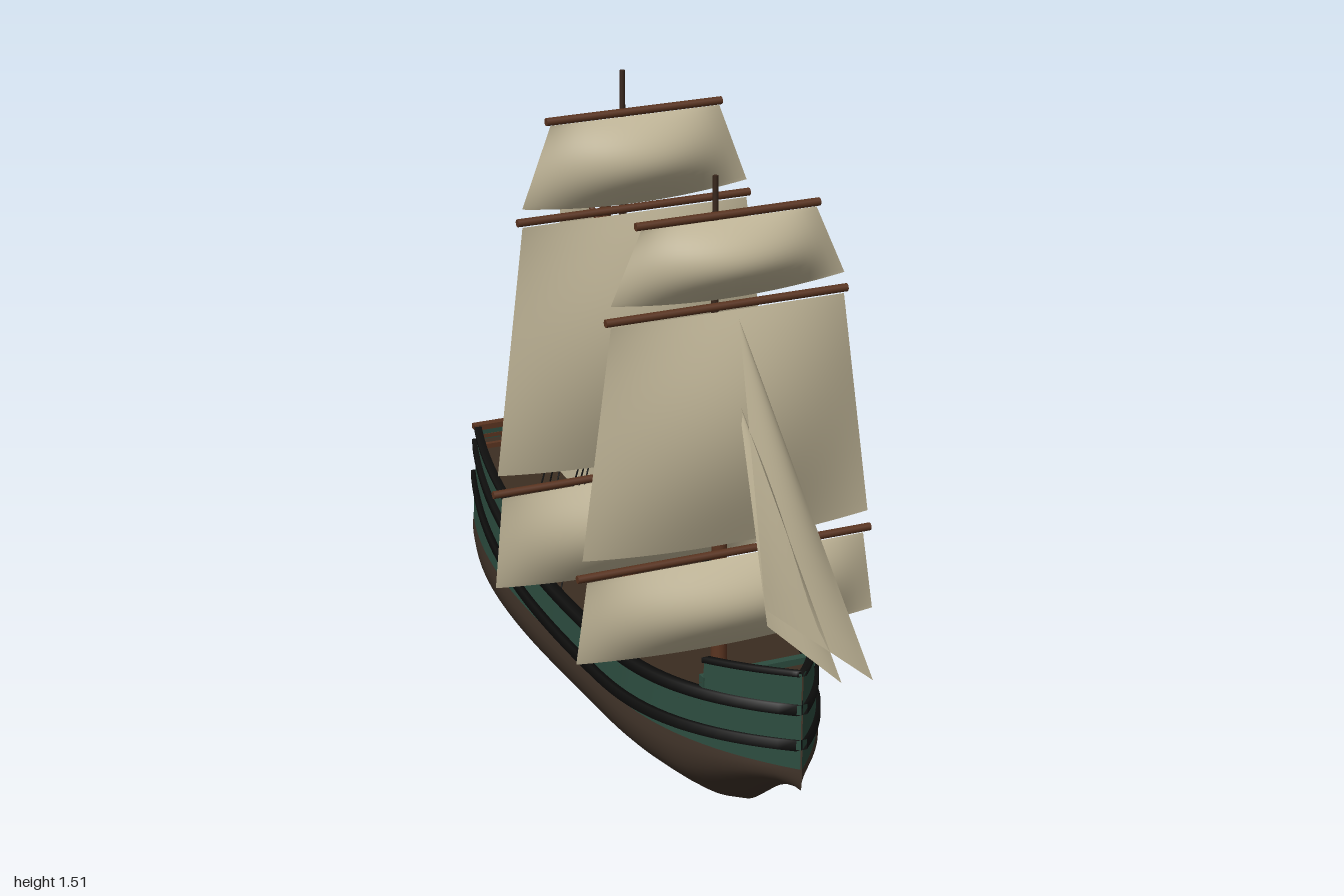
import * as THREE from 'three';

const mat = (name, color, side = THREE.FrontSide) => {
  const m = new THREE.MeshStandardMaterial({ color, side });
  m.name = name;
  return m;
};

export function createModel() {
  const ship = new THREE.Group();
  ship.name = 'sailingShip';
  const D = THREE.DoubleSide;
  const hullBrown = mat('hullBrown', 0x3f3228, D);
  const green = mat('hullGreen', 0x2c4c3f, D);
  const black = mat('trimBlack', 0x10100f, D);
  const deckBrown = mat('deckBrown', 0x3b2d21, D);
  const wood = mat('mastWood', 0x5a3420);
  const darkWood = mat('topmastWood', 0x38261b);
  const canvas = mat('sailCanvas', 0xc2b799, D);

  const add = (name, geo, material, parent = ship) => {
    const m = new THREE.Mesh(geo, material);
    m.name = name;
    parent.add(m);
    return m;
  };
  // surface from a rule f(u, v) -> [x, y, z]
  const grid = (nu, nv, f) => {
    const pos = [], idx = [];
    for (let i = 0; i <= nu; i++) for (let j = 0; j <= nv; j++) pos.push(...f(i / nu, j / nv));
    for (let i = 0; i < nu; i++) for (let j = 0; j < nv; j++) {
      const a = i * (nv + 1) + j, b = a + nv + 1;
      idx.push(a, b, a + 1, b, b + 1, a + 1);
    }
    const g = new THREE.BufferGeometry();
    g.setAttribute('position', new THREE.Float32BufferAttribute(pos, 3));
    g.setIndex(idx);
    g.computeVertexNormals();
    return g;
  };
  const spar = (name, a, b, r0, r1, material, parent = ship, sides = 10) => {
    const A = new THREE.Vector3(...a), B = new THREE.Vector3(...b), dir = B.clone().sub(A);
    const m = add(name, new THREE.CylinderGeometry(r1, r0, dir.length(), sides), material, parent);
    m.position.copy(A).add(B).multiplyScalar(0.5);
    m.quaternion.setFromUnitVectors(new THREE.Vector3(0, 1, 0), dir.normalize());
    return m;
  };
  const box = (name, w, h, d, x, y, z, material) => {
    const m = add(name, new THREE.BoxGeometry(w, h, d), material);
    m.position.set(x, y, z);
    return m;
  };
  const lerp = THREE.MathUtils.lerp;

  // ---- hull form ----
  const BOW = 0.69, STERN = -0.91, WATER = 0.2;
  const beam = z => z > 0.1 ? 0.218 * (1 - Math.pow((z - 0.1) / 0.59, 2.5)) + 0.002
    : z < -0.1 ? 0.22 * (1 - 0.46 * Math.pow((-0.1 - z) / 0.81, 2.8)) : 0.22;
  const sheer = z => 0.295 + 0.105 * (z - 0.05) ** 2;
  const keel = z => z > 0.4 ? 0.15 * Math.sin(Math.min(1, (z - 0.4) / 0.29) * Math.PI / 2) ** 1.6
    : z < -0.78 ? 0.04 * (-0.78 - z) / 0.13 : 0;
  const sideX = (z, y) => beam(z) * (0.98 - 0.5 * (y - WATER));
  const lower = new THREE.SplineCurve([[0, 0], [0.35, 0.12], [0.7, 0.34], [0.92, 0.56], [1, 0.8], [0.98, 1]]
    .map(p => new THREE.Vector2(...p)));
  const lowerPoint = (z, t) => {
    const p = lower.getPoint(t);
    return [p.x * beam(z), lerp(keel(z), WATER, Math.max(0, p.y))];
  };
  add('lowerHull', grid(64, 28, (u, v) => {
    const z = lerp(BOW, STERN, u), s = v * 2 - 1, p = lowerPoint(z, Math.abs(s));
    return [Math.sign(s) * p[0], p[1], z];
  }), hullBrown);

  // planking strip between two height rules
  const strip = (name, z0, z1, y0, y1, material) => {
    for (const s of [1, -1]) add(name, grid(48, 3, (u, v) => {
      const z = lerp(z0, z1, u), y = lerp(y0(z), y1(z), v);
      return [s * sideX(z, y), y, z];
    }), material);
  };
  // raised moulding with a rectangular section, following the hull side
  const moulding = (name, z0, z1, yc, half, out, inn) => {
    const sec = [[-inn, -half], [out, -half], [out, half], [-inn, half], [-inn, -half]];
    for (const s of [1, -1]) add(name, grid(48, 4, (u, v) => {
      const z = lerp(z0, z1, u), [dx, dy] = sec[Math.round(v * 4)], y = yc(z);
      return [s * Math.max(0, sideX(z, y) + dx), y + dy, z];
    }).toNonIndexed(), black);
  };
  const foreTop = z => lerp(0.395, 0.425, (z - 0.48) / 0.21);
  const aftTop = z => lerp(0.39, 0.435, (-0.47 - z) / 0.44);
  const waistTop = z => sheer(z) + 0.014;
  strip('upperHull', BOW, STERN, () => WATER, waistTop, green);
  strip('forecastleBulwark', BOW, 0.48, waistTop, foreTop, green);
  strip('quarterdeckBulwark', -0.47, STERN, waistTop, aftTop, green);
  moulding('upperWale', BOW, STERN, z => sheer(z) + 0.003, 0.012, 0.011, 0.012);
  moulding('lowerWale', BOW, STERN, z => sheer(z) - 0.08, 0.012, 0.011, 0.002);
  moulding('forecastleRail', BOW, 0.48, foreTop, 0.006, 0.007, 0.012);
  moulding('quarterdeckRail', -0.47, STERN, aftTop, 0.006, 0.007, 0.012);

  // ---- decks and bulkheads ----
  const deck = (name, z0, z1, y) => add(name, grid(30, 2, (u, v) => {
    const z = lerp(z0, z1, u);
    return [(v * 2 - 1) * sideX(z, y(z)), y(z), z];
  }), deckBrown);
  deck('mainDeck', 0.48, -0.47, z => sheer(z) - 0.025);
  deck('foreDeck', BOW, 0.47, z => sheer(z) + 0.025);
  deck('quarterDeck', -0.48, STERN, z => sheer(z) + 0.01);
  for (const z of [0.475, -0.478]) {
    const top = z > 0 ? 0.355 : 0.365;
    box('bulkhead', 2 * sideX(z, top), top - 0.27, 0.02, 0, (top + 0.27) / 2, z, green);
  }
  box('sternCrossbeam', 0.2, 0.012, 0.012, 0, 0.4, -0.87, wood);

  // ---- transom with stern windows ----
  add('lowerTransom', grid(16, 2, (u, v) => {
    const p = lowerPoint(STERN, u);
    return [(v * 2 - 1) * p[0], p[1], STERN];
  }), hullBrown);
  add('upperTransom', grid(4, 2, (u, v) => {
    const y = lerp(WATER, 0.435, u);
    return [(v * 2 - 1) * sideX(STERN, y), y, STERN];
  }), green);
  box('sternRail', 0.22, 0.014, 0.022, 0, 0.437, -0.912, wood);
  for (const y of [0.335, 0.41]) box('windowFrameBar', 0.2, 0.01, 0.014, 0, y, -0.915, wood);
  for (const x of [-0.095, -0.033, 0.033, 0.095]) box('windowFramePost', 0.01, 0.075, 0.014, x, 0.372, -0.915, wood);
  for (const x of [-0.064, 0, 0.064]) box('sternWindow', 0.04, 0.055, 0.006, x, 0.372, -0.913, black);

  // ---- rudder ----
  const plate = (name, pts, t, material) => {
    const shape = new THREE.Shape(pts.map(([z, y]) => new THREE.Vector2(-z, y)));
    const g = new THREE.ExtrudeGeometry(shape, { depth: t, bevelEnabled: false });
    g.translate(0, 0, -t / 2).rotateY(Math.PI / 2);
    return add(name, g, material);
  };
  plate('rudder', [[-0.912, 0.012], [-1, 0.012], [-1, 0.32], [-0.965, 0.32], [-0.912, 0.2]], 0.022, hullBrown);
  plate('rudderBracket', [[-0.905, 0.18], [-0.985, 0.322], [-0.905, 0.322]], 0.028, black);
  spar('tiller', [0, 0.325, -0.99], [0, 0.4, -0.79], 0.008, 0.006, wood);

  // ---- masts, tops, yards and square sails ----
  const squareSail = (parent, z, yTop, yBot, wTop, wBot) => add('squareSail', grid(20, 20, (u, v) => {
    const s = v * 2 - 1, y = lerp(yTop, yBot, u) + 0.02 * u * s * s;
    const belly = 0.065 * Math.sin(Math.PI * Math.pow(u, 0.95)) * Math.cos(s * Math.PI / 2);
    return [s * lerp(wTop, wBot, u), y, z + belly];
  }), canvas, parent);

  const squareMast = (name, z, base, topY, head, tip, sailZ, sails) => {
    const g = new THREE.Group();
    g.name = name;
    ship.add(g);
    spar('lowerMast', [0, base, z], [0, head, z], 0.019, 0.015, wood, g, 14);
    spar('topmast', [0, topY, z - 0.03], [0, tip, z - 0.03], 0.01, 0.006, darkWood, g);
    const top = add('fightingTop', new THREE.CylinderGeometry(0.08, 0.062, 0.028, 20), wood, g);
    top.position.set(0, topY + 0.006, z - 0.016);
    for (const [yardY, yardHalf, yTop, yBot, wTop, wBot] of sails) {
      spar('yard', [-yardHalf, yardY, sailZ], [yardHalf, yardY, sailZ], 0.009, 0.009, wood, g);
      squareSail(g, sailZ + 0.006, yTop, yBot, wTop, wBot);
    }
  };
  squareMast('foreMast', 0.28, 0.27, 0.9, 0.96, 1.4, 0.315, [
    [1.333, 0.215, 1.325, 1.148, 0.205, 0.275],
    [1.13, 0.285, 1.12, 0.58, 0.275, 0.345],
    [0.557, 0.355, 0.548, 0.34, 0.335, 0.362]]);
  squareMast('mainMast', -0.205, 0.26, 0.96, 1.02, 1.51, -0.168, [
    [1.433, 0.213, 1.425, 1.222, 0.205, 0.275],
    [1.21, 0.285, 1.2, 0.6, 0.275, 0.345],
    [0.573, 0.355, 0.564, 0.325, 0.335, 0.355]]);

  // ---- mizzen with gaff sail ----
  spar('mizzenMast', [0, 0.27, -0.335], [0, 1.2, -0.335], 0.015, 0.013, wood, ship, 12);
  spar('gaff', [0, 1.105, -0.345], [0, 1.228, -0.585], 0.007, 0.006, wood);
  spar('boom', [0, 0.37, -0.34], [0, 0.37, -0.47], 0.006, 0.005, wood);
  add('gaffSail', grid(14, 14, (u, v) => [
    0.02 * Math.sin(Math.PI * u) * Math.sin(Math.PI * v),
    lerp(lerp(1.1, 1.223, v), lerp(0.375, 0.415, v), u),
    lerp(lerp(-0.355, -0.58, v), lerp(-0.35, -0.695, v), u)]), canvas);

  // ---- jibs: tack, head and clew as [z, y] ----
  const jib = (name, T, H, C) => add(name, grid(14, 14, (u, v) => [
    0.022 * Math.sin(Math.PI * u) * Math.sin(Math.PI * v),
    lerp(lerp(T[1], C[1], v), H[1], u),
    lerp(lerp(T[0], C[0], v), H[0], u)]), canvas);
  jib('outerJib', [1, 0.545], [0.37, 1.115], [0.51, 0.5]);
  jib('innerJib', [0.865, 0.48], [0.37, 0.93], [0.52, 0.465]);

  // ---- shrouds ----
  const shrouds = (z, y, feet) => {
    for (const s of [1, -1]) for (const f of feet)
      spar('shroud', [s * 0.01, y, z], [s * 0.19, sheer(f) + 0.01, f], 0.002, 0.002, black, ship, 5);
  };
  shrouds(-0.21, 0.95, [-0.17, -0.21, -0.25]);
  shrouds(-0.335, 1.05, [-0.29, -0.34, -0.39]);

  return ship;
}
